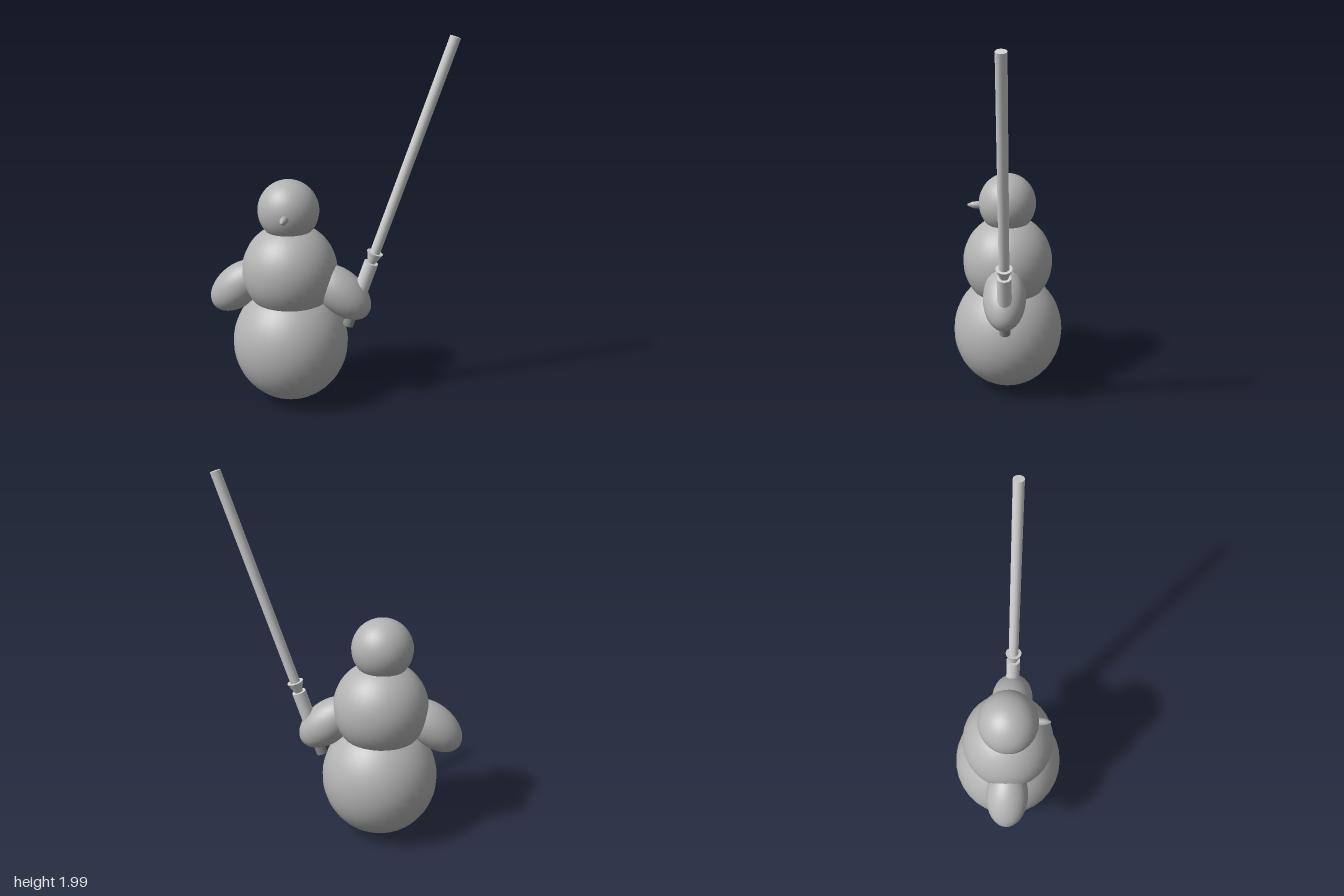
import * as THREE from 'three';

export function createModel() {
  const root = new THREE.Group();
  root.name = 'snowman';

  const mat = (name, color) => {
    const m = new THREE.MeshStandardMaterial({ color });
    m.name = name;
    return m;
  };
  const snow = mat('snow grey', 0xb3b3b3);
  const metal = mat('light grey', 0xd2d2d2);
  const dark = mat('dark grey', 0x8c8c8c);

  const add = (parent, name, geometry, material, x, y, z) => {
    const mesh = new THREE.Mesh(geometry, material);
    mesh.name = name;
    mesh.position.set(x, y, z);
    parent.add(mesh);
    return mesh;
  };
  const ball = (name, x, y, z, rx, ry, rz) =>
    add(root, name, new THREE.SphereGeometry(1, 32, 24).scale(rx, ry, rz), snow, x, y, z);

  // Stacked snowballs
  const cx = -0.203;
  ball('lowerBody', cx, 0.335, -0.003, 0.317, 0.33, 0.308);
  ball('upperBody', cx, 0.75, -0.002, 0.258, 0.26, 0.249);
  ball('head', cx - 0.003, 1.085, 0, 0.164, 0.165, 0.157);

  // Egg-shaped arms hanging outwards
  for (const side of [-1, 1]) {
    const arm = ball(side < 0 ? 'rightArm' : 'leftArm', cx + side * 0.285, 0.645, 0.008, 0.187, 0.115, 0.115);
    arm.rotation.z = -side * 0.72;
  }

  // Short nose tapering to a blunt tip
  const noseProfile = [[0, 0], [0.024, 0], [0.018, 0.06], [0.006, 0.087], [0, 0.088]]
    .map(([r, y]) => new THREE.Vector2(r, y));
  add(root, 'nose', new THREE.LatheGeometry(noseProfile, 16), snow, -0.193, 1.077, 0.13).rotation.x = Math.PI / 2;

  // Long staff with a grip, held in the left hand
  const staff = new THREE.Group();
  staff.name = 'staff';
  staff.position.set(0.118, 0.455, 0.005);
  staff.rotation.z = -0.3185;
  root.add(staff);
  const rod = (name, rTop, rBottom, from, to, material) =>
    add(staff, name, new THREE.CylinderGeometry(rTop, rBottom, to - from, 20), material, 0, (from + to) / 2, 0);
  rod('pommel', 0.03, 0.03, 0, 0.2, dark);
  rod('grip', 0.038, 0.038, 0.18, 0.387, metal);
  rod('collar', 0.044, 0.019, 0.38, 0.447, metal);
  rod('blade', 0.027, 0.027, 0.43, 1.616, metal);

  return root;
}
